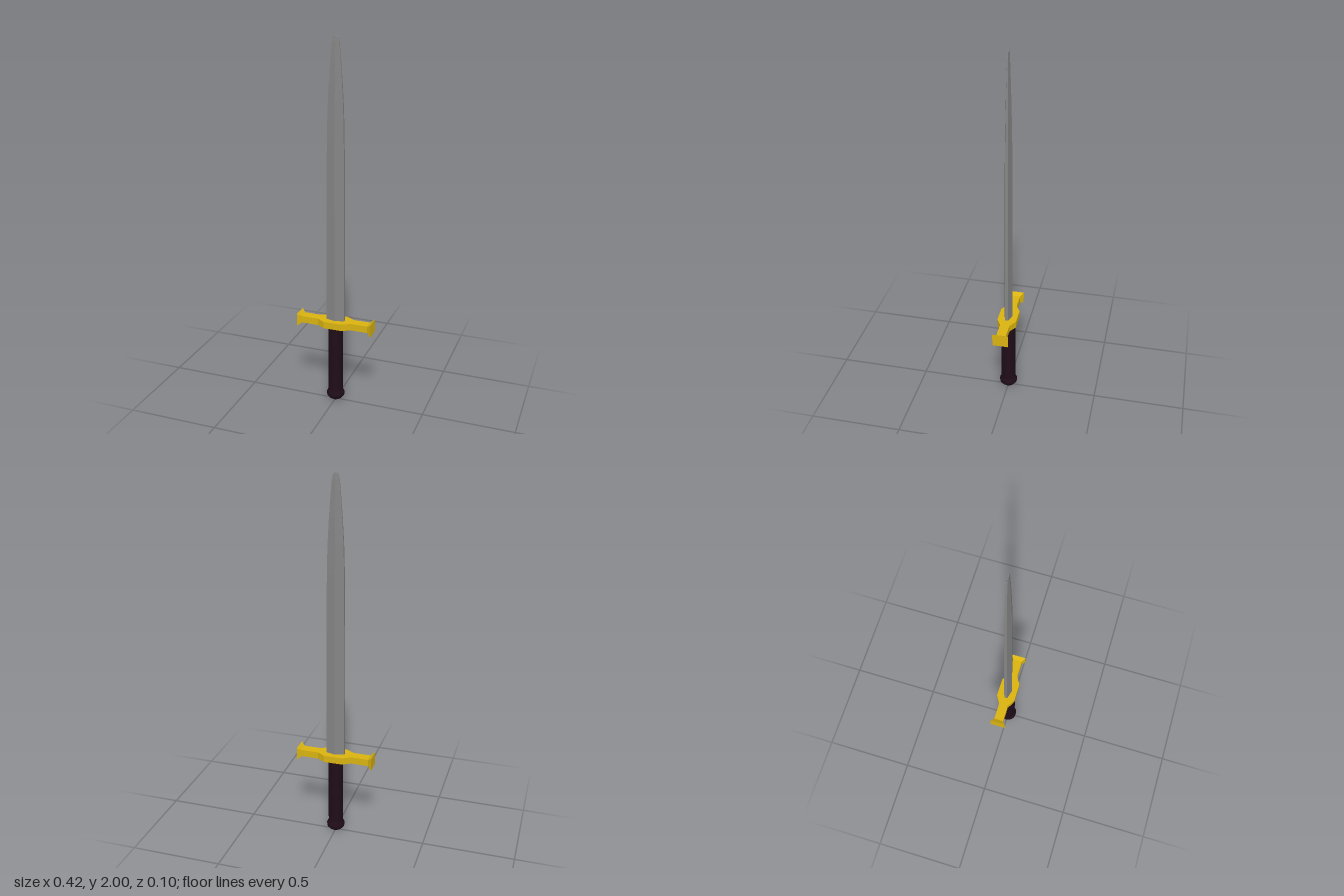
import * as THREE from 'three';

// Joins equal-length rings of [x, y, z] points (counter-clockwise seen from the
// end of the path) into a closed solid with flat end caps.
function loft(rings) {
  const pos = [];
  const tri = (a, b, c) => pos.push(...a, ...b, ...c);
  const n = rings[0].length;
  for (let i = 0; i < rings.length - 1; i++) {
    for (let j = 0; j < n; j++) {
      const k = (j + 1) % n;
      const [a, b, c, d] = [rings[i][j], rings[i][k], rings[i + 1][k], rings[i + 1][j]];
      tri(a, b, c);
      tri(a, c, d);
    }
  }
  const first = rings[0], last = rings[rings.length - 1];
  for (let j = 1; j < n - 1; j++) {
    tri(first[0], first[j + 1], first[j]);
    tri(last[0], last[j], last[j + 1]);
  }
  const geo = new THREE.BufferGeometry();
  geo.setAttribute('position', new THREE.Float32BufferAttribute(pos, 3));
  geo.computeVertexNormals();
  return geo;
}

function part(name, geometry, color, flatShading) {
  const mesh = new THREE.Mesh(geometry, new THREE.MeshStandardMaterial({ color, flatShading }));
  mesh.name = name;
  return mesh;
}

export function createModel() {
  const group = new THREE.Group();
  group.name = 'sword';

  // Blade: six-sided section with a central ridge and narrow blunt edges.
  // Each row is height, half width, half thickness.
  const bladeRows = [
    [0.46, 0.05, 0.023], [1.1, 0.048, 0.021], [1.5, 0.045, 0.019],
    [1.65, 0.041, 0.016], [1.78, 0.034, 0.013], [1.9, 0.025, 0.009],
    [1.965, 0.02, 0.006], [1.99, 0.014, 0.004], [2, 0.006, 0.003],
  ];
  const blade = bladeRows.map(([y, w, t]) => {
    const e = t * 0.38;
    return [[w, y, e], [w, y, -e], [0, y, -t], [-w, y, -e], [-w, y, e], [0, y, t]];
  });
  group.add(part('blade', loft(blade), 0x858585, true));

  // Crossguard: rectangular section, wide in the middle and flared at both ends.
  // Each row is distance from centre, half height, half depth.
  const half = [[0.05, 0.019, 0.052], [0.094, 0.019, 0.026], [0.188, 0.019, 0.026], [0.21, 0.035, 0.043]];
  const guardRows = [...half.map(([x, h, d]) => [-x, h, d]).reverse(), ...half];
  const gy = 0.469;
  const guard = guardRows.map(([x, h, d]) =>
    [[x, gy - h, -d], [x, gy + h, -d], [x, gy + h, d], [x, gy - h, d]]);
  group.add(part('crossguard', loft(guard), 0xd9b310, true));

  // Grip
  const grip = part('grip', new THREE.CylinderGeometry(0.04, 0.04, 0.41, 24), 0x1f0d17, false);
  grip.position.y = 0.255;
  group.add(grip);

  // Pommel: rounded cap with a bulging rim.
  const profile = [[0, 0], [0.022, 0.004], [0.036, 0.014], [0.048, 0.028], [0.049, 0.045], [0.039, 0.064]]
    .map(([r, y]) => new THREE.Vector2(r, y));
  group.add(part('pommel', new THREE.LatheGeometry(profile, 24), 0x1f0d17, false));

  return group;
}
